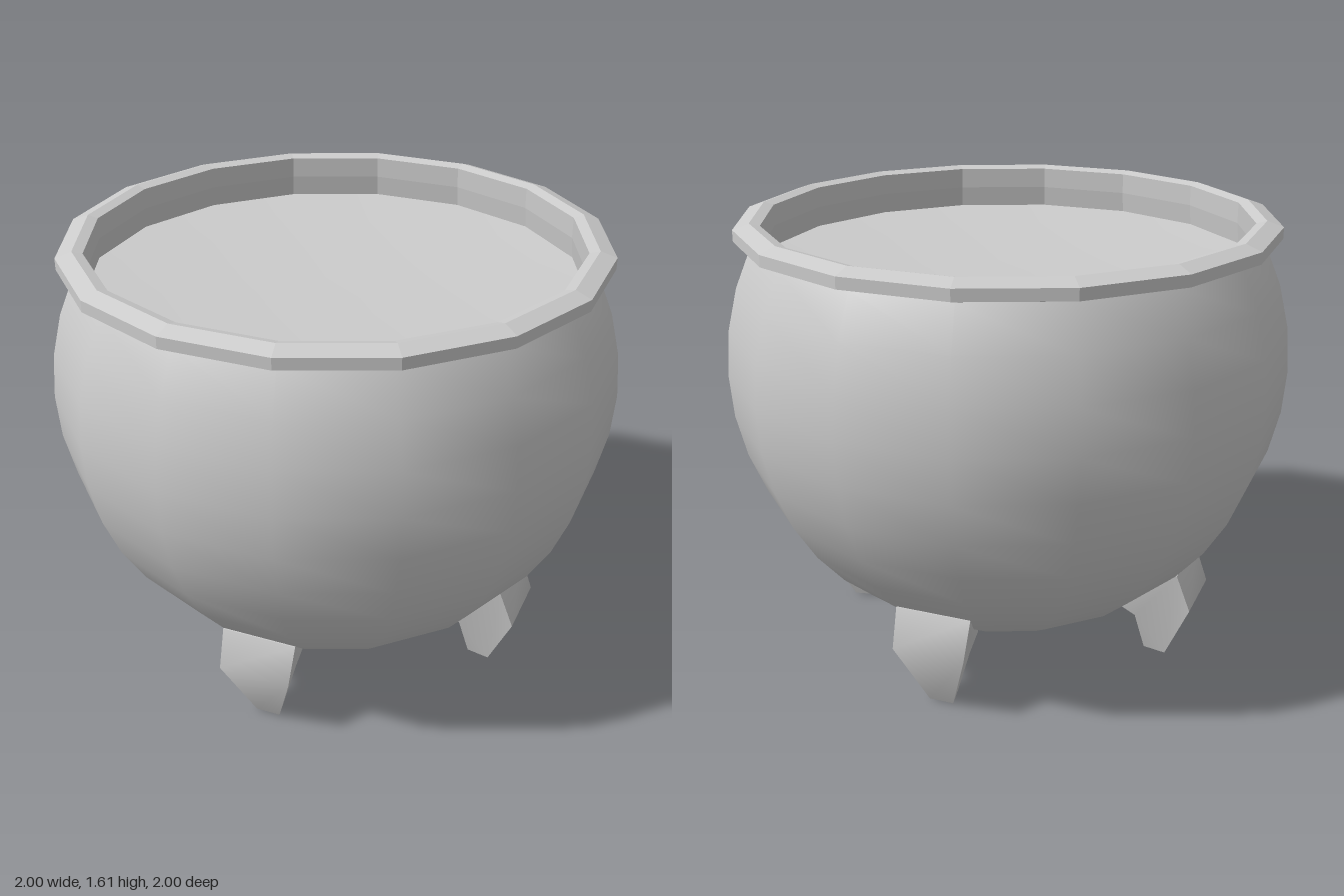
import * as THREE from 'three';
import { toCreasedNormals } from 'three/addons/utils/BufferGeometryUtils.js';

const SIDES = 16;
const CENTRE_Y = 1.08;

const material = (options = {}) => new THREE.MeshStandardMaterial({ color: 0xcccccc, ...options });

function add(parent, name, geometry, mat) {
  const mesh = new THREE.Mesh(geometry, mat);
  mesh.name = name;
  parent.add(mesh);
  return mesh;
}

const lathe = (points) =>
  new THREE.LatheGeometry(points.map(([r, y]) => new THREE.Vector2(r, y)), SIDES);

// Leg: side profile (distance from axis, height, half width), extruded and then tapered
function legGeometry() {
  const profile = [
    [0.56, 0, 0.027], [0.645, 0, 0.045], [0.75, 0.24, 0.131], [0.7, 0.375, 0.137],
    [0.55, 0.375, 0.1], [0.45, 0.185, 0.06], [0.53, 0.145, 0.062],
  ];
  const shape = new THREE.Shape(profile.map(([r, y]) => new THREE.Vector2(r, y)));
  const geometry = new THREE.ExtrudeGeometry(shape, { depth: 2, bevelEnabled: false });
  const pos = geometry.attributes.position;
  for (let i = 0; i < pos.count; i++) {
    const [, , halfWidth] = profile.find(
      ([r, y]) => Math.hypot(r - pos.getX(i), y - pos.getY(i)) < 1e-4);
    pos.setZ(i, (pos.getZ(i) - 1) * halfWidth);
  }
  return toCreasedNormals(geometry, THREE.MathUtils.degToRad(46));
}

export function createModel() {
  const model = new THREE.Group();
  model.name = 'cauldron';
  const smooth = material();
  const faceted = material({ flatShading: true });

  // Round bowl, cut off below the rim
  const cut = THREE.MathUtils.degToRad(63);
  const bowl = new THREE.SphereGeometry(1, SIDES, 13, 0, Math.PI * 2, cut, Math.PI - cut);
  add(model, 'bowl', bowl, smooth).position.y = CENTRE_Y;

  // Bevelled rim, running over the lip and down the inner wall
  add(model, 'rim', lathe([
    [0.88, 1.53], [0.95, 1.55], [0.95, 1.59],
    [0.893, 1.61], [0.857, 1.6], [0.857, 1.525], [0.865, 1.45],
  ]), faceted);

  // Shallow dished floor inside
  const floor = [0.866, 0.6, 0.3, 0].map((r) => [r, 1.42 + 0.03 * (r / 0.866) ** 2]);
  add(model, 'floor', lathe(floor), smooth);

  // Four legs, turned half a facet from the axes
  const leg = legGeometry();
  for (let i = 0; i < 4; i++) {
    add(model, 'leg' + (i + 1), leg, smooth).rotation.y = Math.PI / 16 + (i * Math.PI) / 2;
  }

  return model;
}
